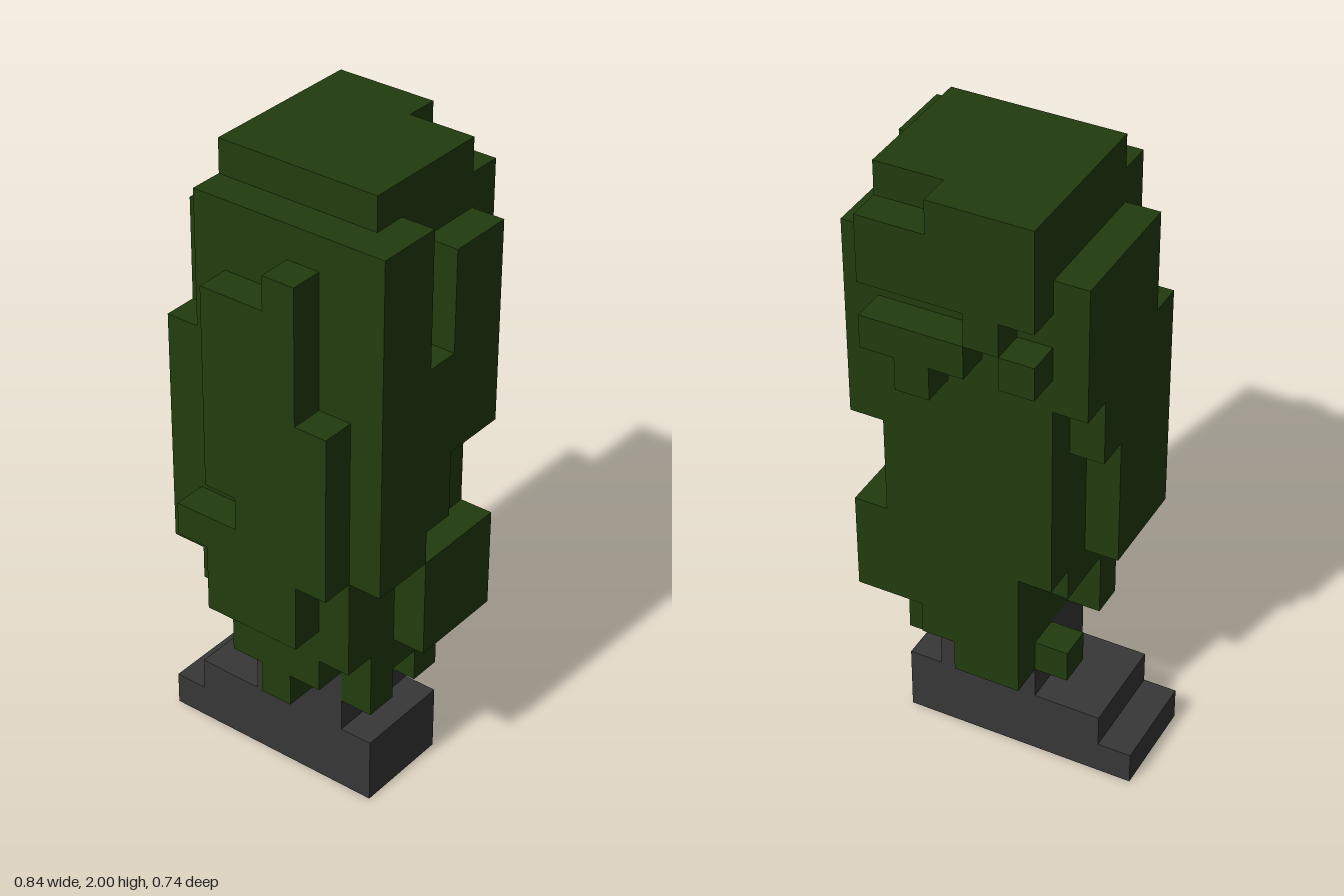
import * as THREE from 'three';

const U = 2 / 19; // one voxel; all coordinates below are in voxels

const leafGreen = new THREE.MeshStandardMaterial({ color: 0x223c0e });
const stoneGrey = new THREE.MeshStandardMaterial({ color: 0x373737 });

function block(group, name, material, [x0, x1], [y0, y1], [z0, z1]) {
  const geometry = new THREE.BoxGeometry((x1 - x0) * U, (y1 - y0) * U, (z1 - z0) * U);
  const mesh = new THREE.Mesh(geometry, material);
  mesh.name = name;
  mesh.position.set(((x0 + x1) / 2) * U, ((y0 + y1) / 2) * U, ((z0 + z1) / 2) * U);
  group.add(mesh);
}

function part(parent, name, material, blocks) {
  const group = new THREE.Group();
  group.name = name;
  for (const [x, y, z] of blocks) block(group, name + 'Block', material, x, y, z);
  parent.add(group);
}

export function createModel() {
  const model = new THREE.Group();
  model.name = 'topiary';

  // Stepped base and short trunk
  part(model, 'base', stoneGrey, [
    [[-4, 3], [0, 1], [-1.5, 1.5]],
    [[-3, 3], [1, 2], [-1.5, 1.5]],
  ]);
  part(model, 'trunk', stoneGrey, [[[-1, 2], [2, 4], [-1.5, 1.5]]]);

  // Main foliage body with its raised cap
  part(model, 'foliageCore', leafGreen, [
    [[-2, 3], [7, 18], [-2.5, 2.5]],
    [[-2, 3], [18, 19], [-2.5, 1.5]],
  ]);

  // Ragged underside: lowest voxel of each column, rows from back to front
  const bottoms = [
    [7, 3, 3, 4, 5],
    [6, 4, 4, 4, 5],
    [6, 4, 4, 4, 4],
    [4, 4, 4, 4, 3],
    [6, 4, 3, 4, 5],
  ];
  const fringe = [];
  bottoms.forEach((row, r) => row.forEach((y, c) => {
    if (y < 7) fringe.push([[c - 2, c - 1], [y, 7], [r - 2.5, r - 1.5]]);
  }));
  for (const x of [-2, 2]) fringe.push([[x, x + 1], [3, 4], [-1.5, -0.5]]);
  part(model, 'foliageFringe', leafGreen, fringe);

  // Front leaf layer
  const f = [2.5, 3.5];
  part(model, 'frontLeaves', leafGreen, [
    [[0, 2], [6, 16], f],
    [[1, 2], [16, 17], f],
    [[2, 3], [8, 13], f],
    [[-1, 0], [10, 16], f],
    [[-2, 0], [8, 9], f],
    [[-1, 0], [6, 8], f],
  ]);

  // Back leaf layer
  const b = [-3.5, -2.5];
  part(model, 'backLeaves', leafGreen, [
    [[-2, 1], [16, 19], b],
    [[1, 3], [16, 18], b],
    [[-1, 0], [15, 16], b],
    [[0, 3], [14, 15], b],
    [[1, 2], [13, 14], b],
    [[-2, -1], [14, 15], b],
  ]);

  // Left leaf layer (+x)
  const l = [3, 4];
  part(model, 'leftLeaves', leafGreen, [
    [l, [8, 18], [0.5, 2.5]],
    [l, [9, 14], [-0.5, 0.5]],
    [l, [11, 17], [-2.5, -0.5]],
    [l, [5, 8], [-2.5, 0.5]],
  ]);

  // Right leaf layer (-x)
  const r = [-3, -2];
  part(model, 'rightLeaves', leafGreen, [
    [r, [13, 17], [-2.5, -1.5]],
    [r, [11, 17], [-1.5, -0.5]],
    [r, [7, 17], [-0.5, 1.5]],
    [r, [7, 14], [1.5, 2.5]],
  ]);

  return model;
}
